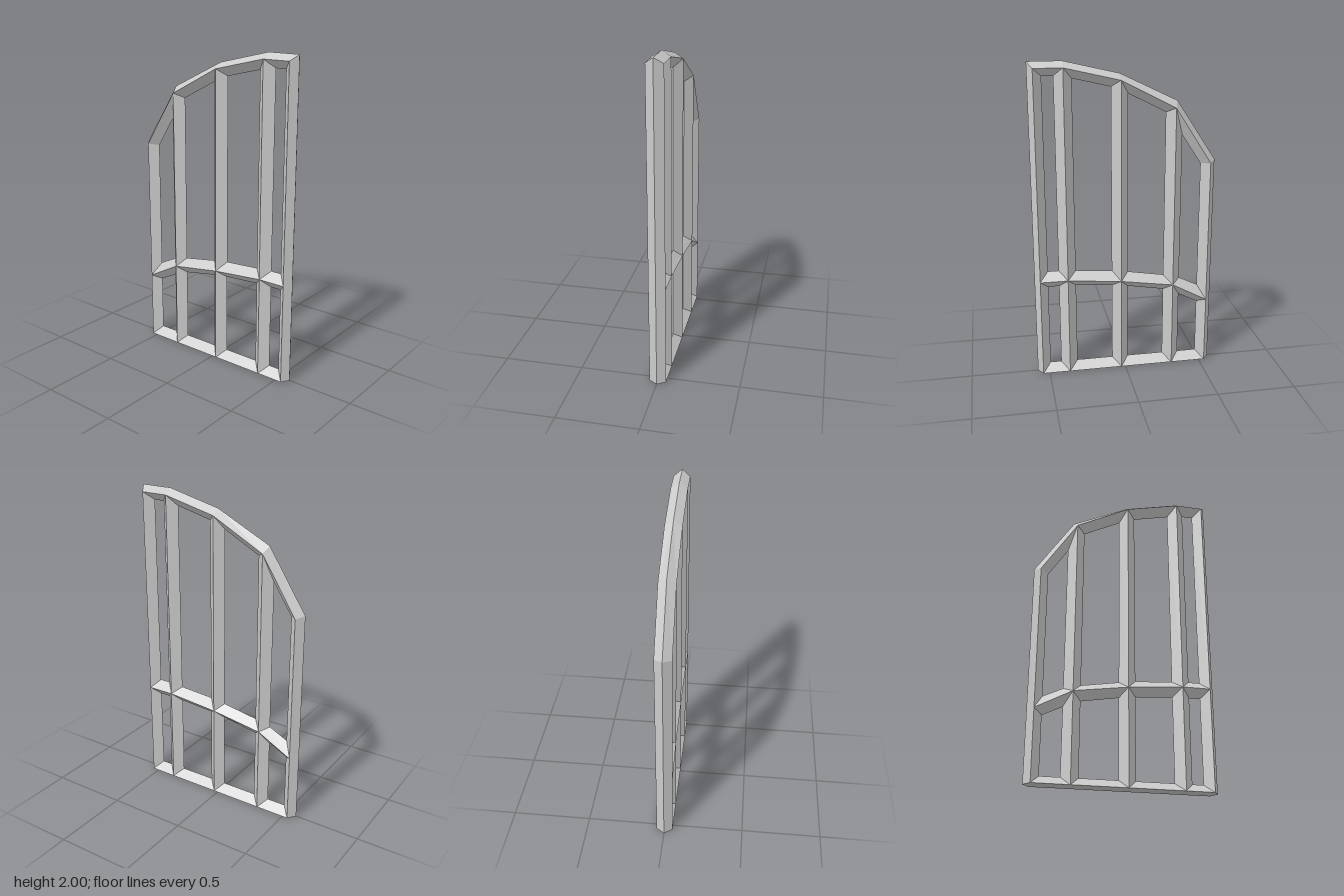
import * as THREE from 'three';

const D = 0.0515; // half depth of the frame, at the ridge of each bar

// Ridge lines: post positions, and arch and middle rail heights at each post
const postX = [-0.536, -0.311, 0.026, 0.367, 0.542];
const archY = [1.36, 1.71, 1.885, 1.965, 1.965];
const midY = [0.44, 0.56, 0.61, 0.64, 0.64];
const postNames = ['rightSidePost', 'rightInnerPost', 'centrePost', 'leftInnerPost', 'leftSidePost'];

// Window openings between the posts: x range, then left/right heights of
// the upper opening's top, its bottom, and the lower opening's top
const openings = [
  { x: [-0.484, -0.363], top: [1.35, 1.537], sill: [0.53, 0.588], low: [0.412, 0.472] },
  { x: [-0.257, -0.024], top: [1.68, 1.80], sill: [0.616, 0.655], low: [0.515, 0.555] },
  { x: [0.08, 0.312], top: [1.842, 1.897], sill: [0.67, 0.686], low: [0.568, 0.585] },
  { x: [0.42, 0.489], top: [1.914, 1.914], sill: [0.693, 0.693], low: [0.588, 0.588] },
];
const SILL = 0.052; // height of the bottom rail

export function createModel() {
  const bars = {};

  // Sloped face from ridge a-b (at z = D) to edge c-d (at z = 0), mirrored to the back
  function bevel(name, a, b, c, d) {
    const out = (bars[name] ??= []);
    const front = [[...a, D], [...b, D], [...c, 0], [...d, 0]];
    const back = front.map(([x, y, z]) => [x, y, -z]);
    for (const i of [0, 1, 2, 0, 2, 3]) out.push(...front[i]);
    for (const i of [0, 2, 1, 0, 3, 2]) out.push(...back[i]);
  }

  // Bevels around one opening; both loops run counter-clockwise from bottom left
  function opening(names, ridge, inner) {
    names.forEach((name, i) => {
      const j = (i + 1) % 4;
      bevel(name, ridge[i], ridge[j], inner[j], inner[i]);
    });
  }

  openings.forEach(({ x: [l, r], top, sill, low }, i) => {
    const [x0, x1] = [postX[i], postX[i + 1]];
    const [p0, p1] = [postNames[i], postNames[i + 1]];
    opening(['bottomRail', p1, 'middleRail', p0],
      [[x0, 0], [x1, 0], [x1, midY[i + 1]], [x0, midY[i]]],
      [[l, SILL], [r, SILL], [r, low[1]], [l, low[0]]]);
    opening(['middleRail', p1, 'archRail', p0],
      [[x0, midY[i]], [x1, midY[i + 1]], [x1, archY[i + 1]], [x0, archY[i]]],
      [[l, sill[0]], [r, sill[1]], [r, top[1]], [l, top[0]]]);
  });

  // Outer rim, counter-clockwise from bottom left
  const arch = postX.map((x, i) => [x, archY[i]]).reverse();
  const ridge = [[postX[0], 0], [postX[4], 0], ...arch];
  const rim = [[-0.574, 0], [0.574, 0], [0.574, 2], [0.367, 2],
    [0.026, 1.92], [-0.329, 1.748], [-0.574, 1.374]];
  const rimNames = ['bottomRail', postNames[4], 'archRail', 'archRail', 'archRail', 'archRail', postNames[0]];
  rimNames.forEach((name, i) => {
    const j = (i + 1) % rim.length;
    bevel(name, ridge[j], ridge[i], rim[i], rim[j]);
  });

  // One mesh per bar
  const group = new THREE.Group();
  group.name = 'archedWindowFrame';
  const material = new THREE.MeshStandardMaterial({ color: 0xcccccc, flatShading: true });
  for (const [name, points] of Object.entries(bars)) {
    const geometry = new THREE.BufferGeometry();
    geometry.setAttribute('position', new THREE.Float32BufferAttribute(points, 3));
    geometry.computeVertexNormals();
    const mesh = new THREE.Mesh(geometry, material);
    mesh.name = name;
    group.add(mesh);
  }
  return group;
}
